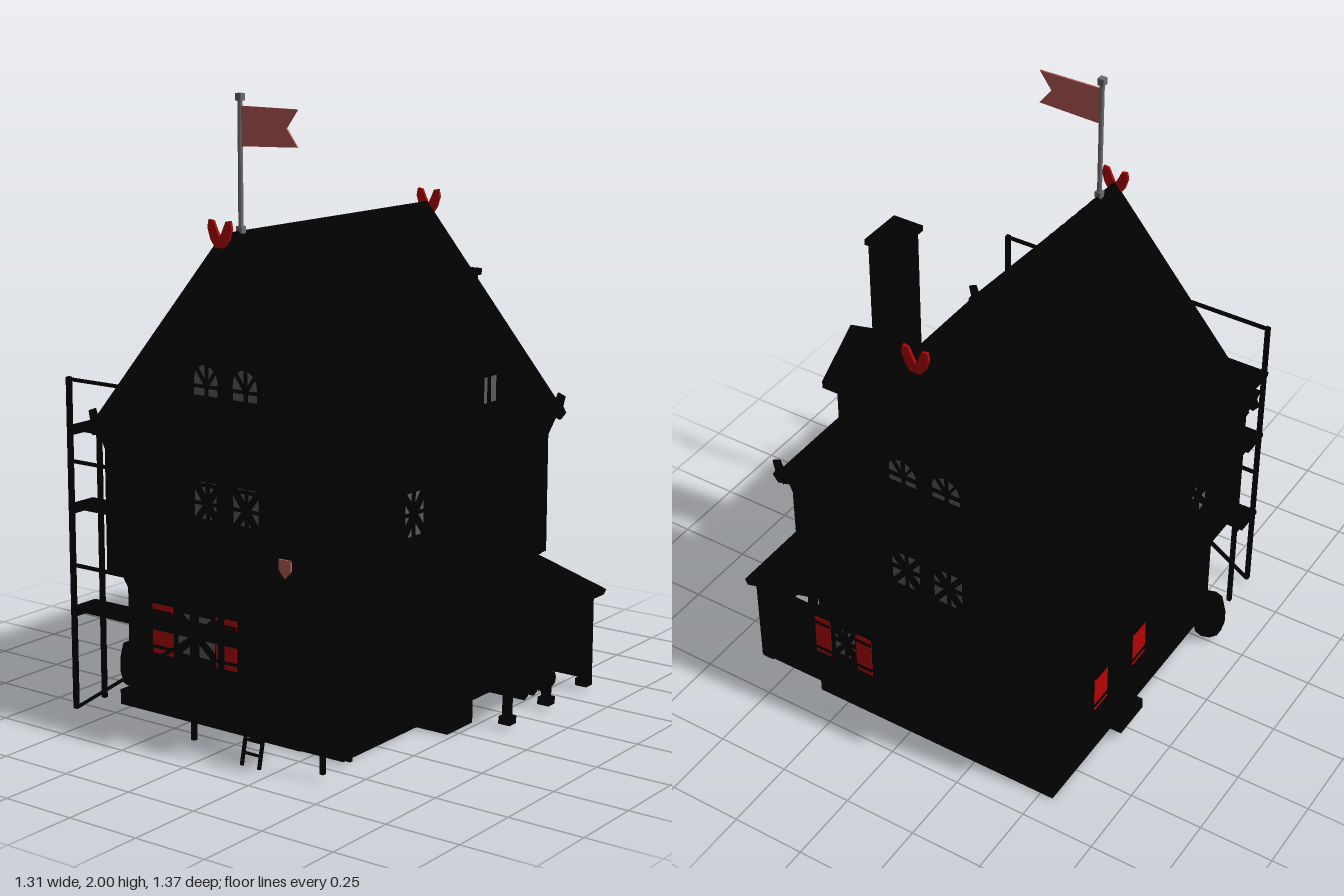
import * as THREE from 'three';

const mat = (name, color, side = THREE.FrontSide) => {
  const m = new THREE.MeshStandardMaterial({ color, flatShading: true, side });
  m.name = name;
  return m;
};

export function createModel() {
  const root = new THREE.Group();
  root.name = 'timberHouse';
  const wall = mat('wallBlack', 0x010101), timber = mat('timberBlack', 0x000000);
  const tile = mat('roofBlack', 0x010101, THREE.DoubleSide);
  const red = mat('shutterRed', 0xb40404), glass = mat('glassGrey', 0x5c5c5c);
  const cloth = mat('flagRed', 0xb85c56), metal = mat('poleGrey', 0x6c6c6c);

  const add = (name, geo, m, parent = root) => {
    const mesh = new THREE.Mesh(geo, m);
    mesh.name = name;
    parent.add(mesh);
    return mesh;
  };
  // Box given by its limits on each axis
  const box = (name, m, x0, x1, y0, y1, z0, z1, parent = root) => {
    const b = add(name, new THREE.BoxGeometry(x1 - x0, y1 - y0, z1 - z0), m, parent);
    b.position.set((x0 + x1) / 2, (y0 + y1) / 2, (z0 + z1) / 2);
    return b;
  };
  // Square bar between two points
  const bar = (name, m, a, b, w = 0.016, parent = root) => {
    const p = new THREE.Vector3(...a), q = new THREE.Vector3(...b);
    const o = add(name, new THREE.BoxGeometry(w, w, p.distanceTo(q)), m, parent);
    o.position.copy(p).add(q).multiplyScalar(0.5);
    o.lookAt(q);
    return o;
  };
  const shape = pts => new THREE.Shape(pts.map(p => new THREE.Vector2(...p)));
  // Outline in x and y, extruded from z0 to z1
  const prism = (name, m, pts, z0, z1, parent = root) => {
    const o = add(name, new THREE.ExtrudeGeometry(shape(pts), { depth: z1 - z0, bevelEnabled: false }), m, parent);
    o.position.z = z0;
    return o;
  };
  // Four walls around an open floor
  const ring = (name, m, x0, x1, y0, y1, z0, z1, t) => {
    box(name, m, x0, x1, y0, y1, z0, z0 + t);
    box(name, m, x0, x1, y0, y1, z1 - t, z1);
    box(name, m, x0, x0 + t, y0, y1, z0 + t, z1 - t);
    box(name, m, x1 - t, x1, y0, y1, z0 + t, z1 - t);
  };
  const CX = -0.096;

  // Walls: plinth, ground floor, overhanging upper floor and gable
  ring('plinth', wall, -0.545, 0.36, 0, 0.05, -0.645, 0.425, 0.05);
  ring('groundFloor', wall, -0.54, 0.35, 0.05, 0.45, -0.64, 0.385, 0.04);
  prism('upperFloor', wall, [[-0.595, 0.43], [0.4, 0.43], [0.4, 0.92], [CX, 1.52], [-0.595, 0.92]], -0.645, 0.405);
  box('sideStep', wall, -0.6, -0.54, 0.03, 0.07, -0.31, -0.17);
  box('doorStep', wall, 0, 0.2, 0, 0.05, 0.38, 0.43);

  // Main roof with stepped tile courses
  const rows = 14, top = [];
  for (let s = -1; s <= 1; s += 2) for (let i = 0; i < rows; i++) {
    const k = s < 0 ? rows - i : i;
    const at = d => [CX + s * 0.54 * k / rows, 1.575 - 0.65 * k / rows + d];
    const pair = [at(0.006), at(-0.004)];
    if (k > 0) top.push(...(s < 0 ? pair.reverse() : pair));
    else top.push([CX, 1.583]);
  }
  prism('mainRoof', tile, [...top, [0.452, 0.922], [0.434, 0.90], [CX, 1.53], [-0.626, 0.90], [-0.643, 0.925]], -0.672, 0.427);

  // Bargeboards with notched ends and red ridge horns
  [[0.427, 0.435], [-0.68, -0.672]].forEach(([z0, z1]) => {
    [-1, 1].forEach(s => {
      const X = d => CX + s * d;
      prism('bargeboard', tile, [[X(0), 1.575], [X(0.548), 0.925], [X(0.52), 0.89], [X(0), 1.51]], z0, z1);
      prism('bargeboardEnd', tile, [[X(0.53), 0.98], [X(0.556), 0.97], [X(0.548), 0.935], [X(0.56), 0.915],
        [X(0.54), 0.89], [X(0.5), 0.9]], z0, z1);
    });
    const zm = z0 > 0 ? z1 : z0;
    prism('ridgeHorn', red, [[CX - 0.018, 1.54], [CX + 0.018, 1.54], [CX + 0.036, 1.565], [CX + 0.047, 1.6], [CX + 0.042, 1.625],
      [CX + 0.024, 1.622], [CX + 0.014, 1.6], [CX, 1.572], [CX - 0.014, 1.6], [CX - 0.024, 1.622],
      [CX - 0.042, 1.625], [CX - 0.047, 1.6], [CX - 0.036, 1.565]], zm - 0.005, zm + 0.004);
  });

  // Timber framing on the gable ends and long sides
  for (const z of [0.408, -0.648]) {
    for (const y of [0.45, 0.61, 0.92]) bar('frameRail', timber, [-0.6, y, z], [0.4, y, z], 0.022);
    for (const x of [-0.59, -0.42, -0.28, CX, 0.08, 0.22, 0.39]) bar('frameStud', timber, [x, 0.44, z], [x, 0.92, z], 0.02);
    for (const s of [-1, 1]) {
      bar('frameBrace', timber, [CX + s * 0.48, 0.46, z], [CX + s * 0.33, 0.9, z], 0.018);
      bar('gableStud', timber, [CX + s * 0.17, 0.92, z], [CX + s * 0.17, 1.28, z], 0.02);
      bar('gableBrace', timber, [CX + s * 0.4, 0.93, z], [CX + s * 0.19, 1.1, z], 0.018);
    }
    bar('collarBeam', timber, [-0.32, 1.22, z], [0.12, 1.22, z], 0.02);
  }
  for (const s of [-1, 1]) {
    const x = CX + s * 0.5;
    for (const y of [0.45, 0.61, 0.88]) bar('sideRail', timber, [x, y, -0.65], [x, y, 0.41], 0.02);
    for (const z of [-0.64, -0.42, -0.2, 0.03, 0.23, 0.4]) {
      bar('sideStud', timber, [x, 0.44, z], [x, 0.9, z], 0.02);
      bar('eaveBracket', timber, [x, 0.835, z], [x + s * 0.03, 0.9, z], 0.016);
    }
  }
  for (let i = 0; i < 6; i++) {
    const z = -0.6 + i * 0.19, x = -0.5 + i * 0.16;
    bar('jettyBracket', timber, [-0.54, 0.36, z], [-0.585, 0.43, z], 0.02);
    bar('jettyBracket', timber, [x, 0.36, 0.385], [x, 0.43, 0.41], 0.022);
  }

  // Windows: frame, pane, bars and optional shutters, built facing +z
  const makeWindow = (style, w, h, pos, turn, shutter = 0) => {
    const g = new THREE.Group();
    g.name = 'window';
    const a = w / 2, b = h / 2, arched = style === 'arch';
    const outline = (p, q) => {
      const s = new THREE.Shape();
      s.moveTo(-p, -q); s.lineTo(p, -q);
      if (arched) { s.lineTo(p, q - p); s.absarc(0, q - p, p, 0, Math.PI, false); } else { s.lineTo(p, q); s.lineTo(-p, q); }
      s.closePath();
      return s;
    };
    const frame = outline(a + 0.012, b + 0.012);
    frame.holes.push(outline(a, b));
    add('windowFrame', new THREE.ExtrudeGeometry(frame, { depth: 0.022, bevelEnabled: false, curveSegments: 6 }), timber, g);
    add('windowPane', new THREE.ShapeGeometry(outline(a, b), 6), glass, g).position.z = 0.006;
    const z = 0.009, mid = arched ? -b * 0.4 : 0;
    bar('mullion', timber, [0, -b, z], [0, b, z], 0.01, g);
    if (style !== 'plain') bar('crossbar', timber, [-a, mid, z], [a, mid, z], 0.01, g);
    if (arched) for (const s of [-1, 1]) bar('fanBar', timber, [0, mid, z], [s * a * 0.75, b * 0.75, z], 0.009, g);
    if (style === 'cross') for (const s of [-1, 1]) bar('diagonalBar', timber, [-a, -b * s, z], [a, b * s, z], 0.018, g);
    if (shutter) for (const s of [-1, 1]) {
      const c = s * (a + 0.006 + shutter / 2), u = shutter / 2, v = b + 0.012;
      box('shutterBack', timber, c - u - 0.003, c + u + 0.003, -v - 0.003, v + 0.003, 0.002, 0.023, g);
      box('shutter', red, c - u, c + u, -v, v, 0.023, 0.025, g);
      for (const y of [-b * 0.85, b * 0.85]) box('shutterStrap', timber, c - u, c + u, y - 0.005, y + 0.005, 0.024, 0.028, g);
    }
    g.position.set(...pos);
    g.rotation.y = turn;
    root.add(g);
  };
  const H = Math.PI / 2;
  for (const x of [-0.173, -0.018]) for (const [z, t] of [[0.405, 0], [-0.645, Math.PI]]) {
    makeWindow('arch', 0.108, 0.1, [x, 1.12, z], t);
    makeWindow('cross', 0.112, 0.145, [x, 0.727, z], t);
  }
  makeWindow('cross', 0.165, 0.14, [-0.24, 0.28, 0.385], 0, 0.085);
  makeWindow('cross', 0.09, 0.13, [0.24, 0.28, -0.64], Math.PI, 0.06);
  makeWindow('cross', 0.15, 0.14, [-0.53, 0.28, -0.25], -H, 0.08);
  makeWindow('cross', 0.12, 0.145, [-0.595, 0.727, 0.13], -H);
  makeWindow('cross', 0.12, 0.145, [0.4, 0.727, 0.13], H);
  makeWindow('plain', 0.095, 0.09, [0.385, 1.045, -0.312], H);
  // Inner faces of the ground-floor windows
  makeWindow('grid', 0.165, 0.14, [-0.24, 0.28, 0.345], Math.PI);
  makeWindow('grid', 0.13, 0.12, [-0.5, 0.28, -0.28], H);

  // Dormer on the right slope, profile turned to face +x
  const dormer = new THREE.Group();
  dormer.name = 'dormer';
  prism('dormerWall', wall, [[-0.12, 0.9], [0.12, 0.9], [0.12, 1.17], [0, 1.25], [-0.12, 1.17]], 0.1, 0.385, dormer);
  prism('dormerRoof', tile, [[0, 1.283], [-0.16, 1.165], [-0.16, 1.14], [0, 1.25], [0.16, 1.14], [0.16, 1.165]], 0.1, 0.41, dormer);
  dormer.rotation.y = H;
  dormer.position.z = -0.312;
  root.add(dormer);

  // Chimney
  box('chimneyBase', wall, 0.33, 0.478, 0, 0.95, -0.11, 0.033);
  box('chimneyStack', wall, 0.387, 0.478, 0.9, 1.45, -0.11, 0.033);
  box('chimneyCap', wall, 0.375, 0.485, 1.445, 1.465, -0.12, 0.043);

  // Lean-to shed, open at the bottom on its long side
  prism('shedRoof', tile, [[0.34, 0.44], [0.34, 0.415], [0.645, 0.33], [0.655, 0.35]], -0.64, -0.105);
  box('shedBackWall', wall, 0.34, 0.608, 0.035, 0.35, -0.64, -0.62);
  box('shedSideWall', wall, 0.588, 0.608, 0.17, 0.35, -0.63, -0.12);
  box('shedFrontWall', wall, 0.34, 0.608, 0.17, 0.35, -0.13, -0.115);
  for (const z of [-0.135, -0.37, -0.61]) {
    box('shedPost', timber, 0.582, 0.606, 0.02, 0.36, z - 0.012, z + 0.012);
    box('shedFooting', wall, 0.573, 0.615, 0.015, 0.04, z - 0.02, z + 0.02);
  }
  for (let i = 0; i < 7; i++) {
    const log = add('firewood', new THREE.CylinderGeometry(0.028, 0.028, 0.14, 8), timber);
    log.rotation.z = H;
    log.position.set(0.43, i < 4 ? 0.03 : 0.078, -0.56 + (i < 4 ? i : i - 3.5) * 0.057);
  }

  // Front door with a bracketed canopy and shield above
  box('door', timber, 0.04, 0.17, 0.05, 0.33, 0.385, 0.395);
  box('canopy', tile, -0.04, 0.223, 0.44, 0.505, 0.38, 0.478);
  for (const x of [-0.02, 0.2]) bar('canopyBracket', timber, [x, 0.35, 0.385], [x, 0.44, 0.46], 0.02);
  prism('shield', cloth, [[0.115, 0.6], [0.115, 0.565], [0.138, 0.54], [0.161, 0.565], [0.161, 0.6]], 0.42, 0.426);

  // Scaffold
  const scaffold = new THREE.Group();
  scaffold.name = 'scaffold';
  root.add(scaffold);
  const levels = [0.34, 0.68, 0.935];
  for (const x of [-0.593, -0.096, 0.402]) {
    box('outerPole', timber, x - 0.007, x + 0.007, 0.02, 1.11, 0.577, 0.592, scaffold);
    box('innerPole', timber, x - 0.007, x + 0.007, 0.02, 0.955, 0.443, 0.457, scaffold);
    for (const y of levels) bar('transom', timber, [x, y - 0.006, 0.45], [x, y - 0.006, 0.585], 0.012, scaffold);
  }
  for (const y of levels) box('walkway', timber, -0.615, 0.425, y, y + 0.014, 0.463, 0.568, scaffold);
  for (const y of [0.5, 0.84, 1.103]) bar('guardRail', timber, [-0.595, y, 0.585], [0.405, y, 0.585], 0.01, scaffold);
  bar('scaffoldBrace', timber, [-0.595, 0.02, 0.58], [-0.1, 0.35, 0.58], 0.01, scaffold);
  bar('scaffoldBrace', timber, [-0.1, 0.35, 0.58], [0.4, 0.68, 0.58], 0.01, scaffold);

  // Ladder
  for (const x of [0.17, 0.236]) bar('ladderRail', timber, [x, 0.025, 0.68], [x, 0.41, 0.593], 0.009);
  for (let i = 1; i < 10; i++) {
    const y = 0.025 + i * 0.039, z = 0.68 - i * 0.0088;
    bar('ladderRung', timber, [0.17, y, z], [0.236, y, z], 0.007);
  }

  // Upright barrel
  const barrel = add('barrel', new THREE.LatheGeometry([[0, -0.066], [0.046, -0.066], [0.057, -0.025], [0.057, 0.025],
    [0.048, 0.066], [0, 0.066]].map(p => new THREE.Vector2(...p)), 10), timber);
  barrel.position.set(-0.6, 0.091, 0.28);

  // Flagpole and swallowtail flag
  const pole = add('flagpole', new THREE.CylinderGeometry(0.008, 0.008, 0.43, 8), metal);
  pole.position.set(CX, 1.775, 0.335);
  box('poleFinial', metal, CX - 0.011, CX + 0.011, 1.977, 2, 0.324, 0.346);
  box('poleSocket', metal, CX - 0.011, CX + 0.011, 1.575, 1.597, 0.324, 0.346);
  prism('flag', cloth, [[-0.09, 1.84], [0.124, 1.847], [0.082, 1.903], [0.124, 1.96], [-0.09, 1.962]], 0.332, 0.338);

  return root;
}
